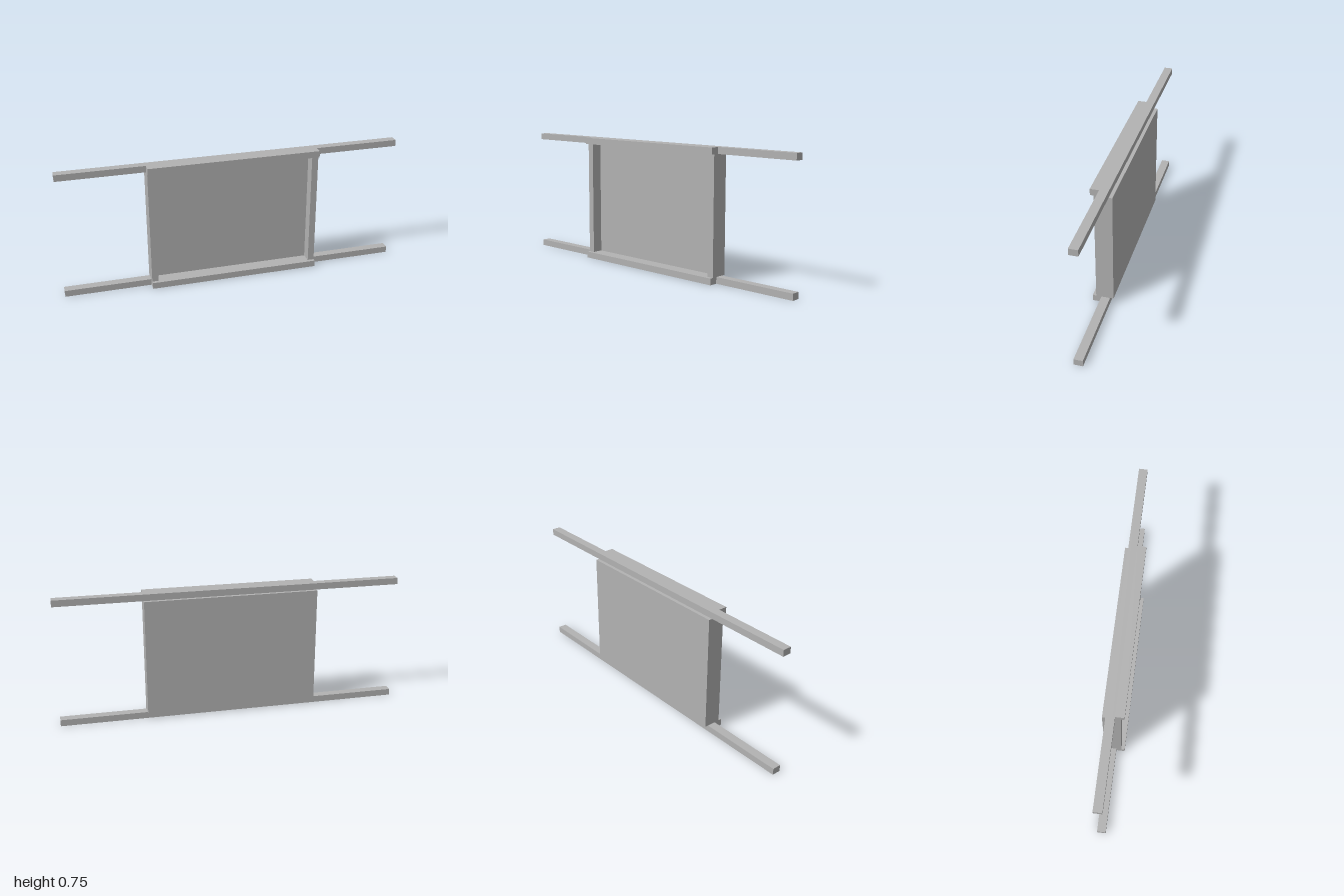
import * as THREE from 'three';

export function createModel() {
  const group = new THREE.Group();
  const grey = new THREE.MeshStandardMaterial({ color: 0xb2b2b2 });
  grey.name = 'plain grey';

  // Box given by its lower and upper corners
  const box = (name, [x0, y0, z0], [x1, y1, z1]) => {
    const mesh = new THREE.Mesh(new THREE.BoxGeometry(x1 - x0, y1 - y0, z1 - z0), grey);
    mesh.position.set((x0 + x1) / 2, (y0 + y1) / 2, (z0 + z1) / 2);
    mesh.name = name;
    group.add(mesh);
  };

  const T = 0.0375; // board thickness
  const H = 0.75;   // overall height
  const W = 0.5;    // half width of the tray

  // Long rails with a shorter front ledge, bottom and top
  for (const [label, y] of [['bottom', 0], ['top', H - T]]) {
    box(label + 'Rail', [-1, y, -0.04], [1, y + T, 0.01]);
    box(label + 'Ledge', [-W, y, 0.01], [W, y + T, 0.06]);
  }

  // Side boards
  box('leftSide', [W - T, T, -0.06], [W, H - T, 0.04]);
  box('rightSide', [-W, T, -0.06], [-W + T, H - T, 0.04]);

  // Back panel between the side boards
  box('backPanel', [-W + T, T, -0.06], [W - T, H - T, -0.06 + T]);

  return group;
}
